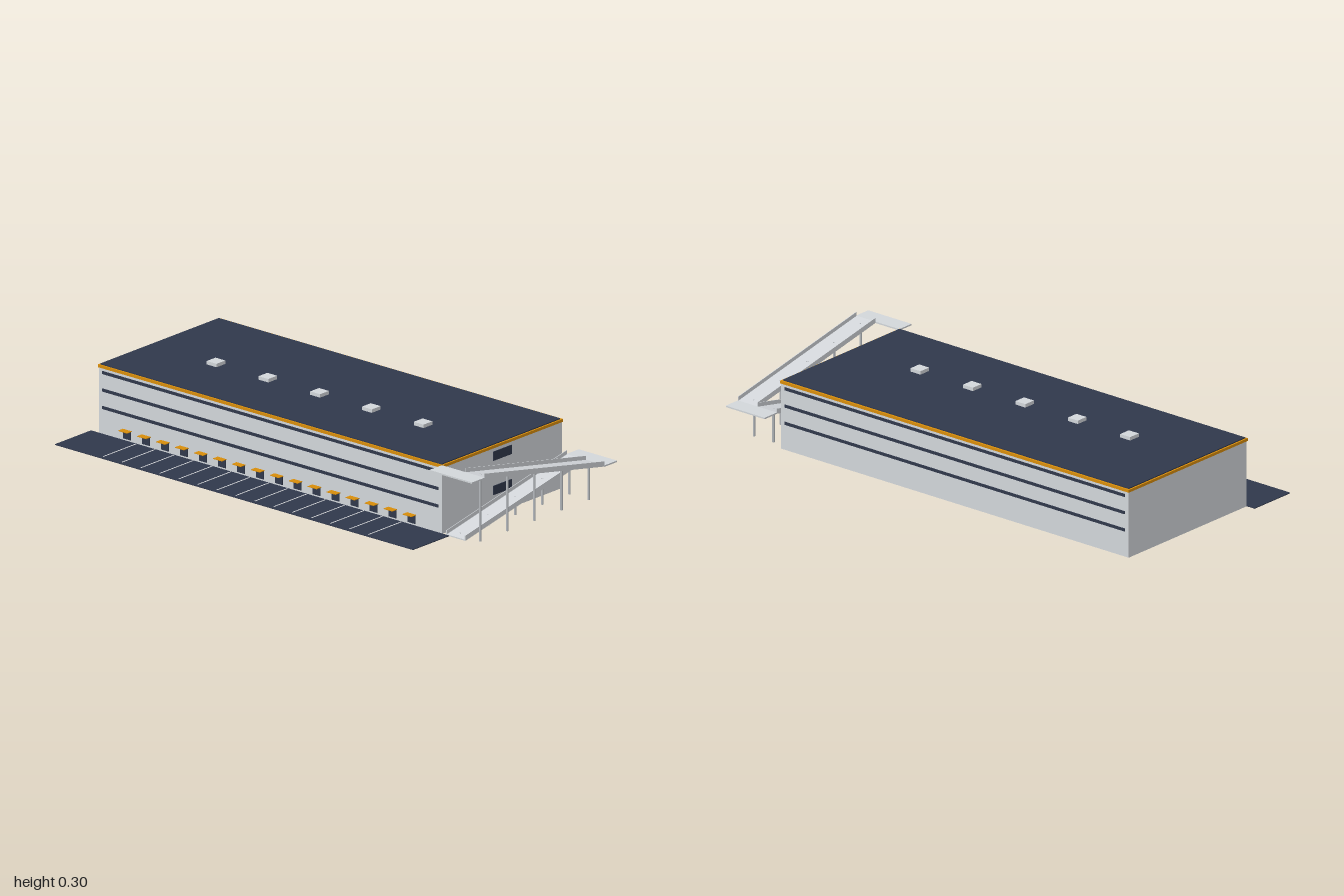
import * as THREE from 'three';

export function createModel() {
  const model = new THREE.Group();
  model.name = 'warehouse';
  const mat = (name, color) => {
    const m = new THREE.MeshStandardMaterial({ color });
    m.name = name;
    return m;
  };
  const wall = mat('pale grey', 0xd2d6da);
  const navy = mat('navy', 0x30384b);
  const amber = mat('amber', 0xd88d0a);
  const white = mat('line white', 0xf2f4f6);
  const steel = mat('steel grey', 0xb6babe);

  const add = (parent, name, geometry, material) => {
    const mesh = new THREE.Mesh(geometry, material);
    mesh.name = name;
    parent.add(mesh);
    return mesh;
  };
  // Box given by its minimum and maximum on each axis
  const box = (parent, name, material, x0, x1, y0, y1, z0, z1) => {
    const mesh = add(parent, name, new THREE.BoxGeometry(x1 - x0, y1 - y0, z1 - z0), material);
    mesh.position.set((x0 + x1) / 2, (y0 + y1) / 2, (z0 + z1) / 2);
    return mesh;
  };
  const group = (name) => {
    const g = new THREE.Group();
    g.name = name;
    model.add(g);
    return g;
  };

  const L = -0.96, R = 0.783, B = -0.418, F = 0.28;

  // Hall, amber eaves band and roof
  const hall = group('hall');
  box(hall, 'walls', wall, L, R, 0, 0.279, B, F);
  box(hall, 'eavesBand', amber, L - 0.003, R + 0.003, 0.269, 0.28, B - 0.003, F + 0.003);
  box(hall, 'roof', navy, L + 0.004, R - 0.004, 0.275, 0.284, B + 0.006, F - 0.004);

  // Window strips on the two long walls
  for (const y of [0.11, 0.181, 0.252]) {
    box(hall, 'frontWindowStrip', navy, -0.942, 0.765, y - 0.006, y + 0.006, F - 0.002, F + 0.003);
    box(hall, 'backWindowStrip', navy, -0.942, 0.765, y - 0.006, y + 0.006, B - 0.003, B + 0.002);
  }

  // Entrances beside the ramps
  box(hall, 'lowerEntrance', navy, R - 0.002, R + 0.003, 0.079, 0.116, -0.123, -0.016);
  box(hall, 'upperEntrance', navy, R - 0.002, R + 0.003, 0.218, 0.255, -0.123, -0.016);

  // Skylights
  for (let i = 0; i < 5; i++) {
    const x = -0.617 + i * 0.263;
    box(hall, 'skylight', wall, x - 0.025, x + 0.025, 0.282, 0.298, -0.034, 0.017);
  }

  // Loading yard with dock doors, canopies and bay lines
  const yard = group('loadingYard');
  box(yard, 'yardSlab', navy, -1, 0.82, 0, 0.003, F, 0.49);
  const pitch = 0.0963;
  for (let i = 0; i < 16; i++) {
    const x = -0.815 + i * pitch;
    box(yard, 'dockDoor', navy, x - 0.019, x + 0.019, 0.01, 0.045, F - 0.002, F + 0.003);
    box(yard, 'dockCanopy', amber, x - 0.023, x + 0.023, 0.045, 0.0475, F, 0.307);
    if (i < 15) {
      const c = x + pitch / 2;
      box(yard, 'bayLine', white, c - 0.0022, c + 0.0022, 0.002, 0.004, F + 0.005, 0.476);
    }
  }

  // Sloping strip between two heights, spanning x0 to x1
  const slope = (parent, name, x0, x1, yFront, yBack, height) => {
    const shape = new THREE.Shape();
    shape.moveTo(B, yBack);
    shape.lineTo(F, yFront);
    shape.lineTo(F, yFront + height);
    shape.lineTo(B, yBack + height);
    shape.closePath();
    const geo = new THREE.ExtrudeGeometry(shape, { depth: x1 - x0, bevelEnabled: false });
    const mesh = add(parent, name, geo, wall);
    mesh.rotation.y = -Math.PI / 2;
    mesh.position.x = x1;
  };

  // Two ramp flights with side walls and supporting columns
  const ramps = group('ramps');
  const flights = [
    { name: 'lower', x0: 0.805, x1: 0.902, front: 0, back: 0.138 },
    { name: 'upper', x0: 0.902, x1: 1, front: 0.275, back: 0.138 },
  ];
  for (const { name, x0, x1, front, back } of flights) {
    slope(ramps, name + 'RampDeck', x0, x1, front, back, 0.005);
    slope(ramps, name + 'RampLeftWall', x1 - 0.003, x1, front, back, 0.021);
    slope(ramps, name + 'RampRightWall', x0, x0 + 0.003, front, back, 0.021);
    for (let i = 0; i < 5; i++) {
      const z = 0.245 - i * 0.1575;
      const top = THREE.MathUtils.mapLinear(z, F, B, front, back) + 0.005;
      const column = add(ramps, name + 'RampColumn', new THREE.CylinderGeometry(0.005, 0.005, top, 12), steel);
      column.position.set((x0 + x1) / 2 - 0.004, top / 2, z);
    }
  }

  // Landings
  box(ramps, 'backLanding', wall, 0.805, 1, 0.137, 0.143, -0.49, B);
  box(ramps, 'topLanding', wall, R, 1, 0.274, 0.28, F, 0.352);

  return model;
}
